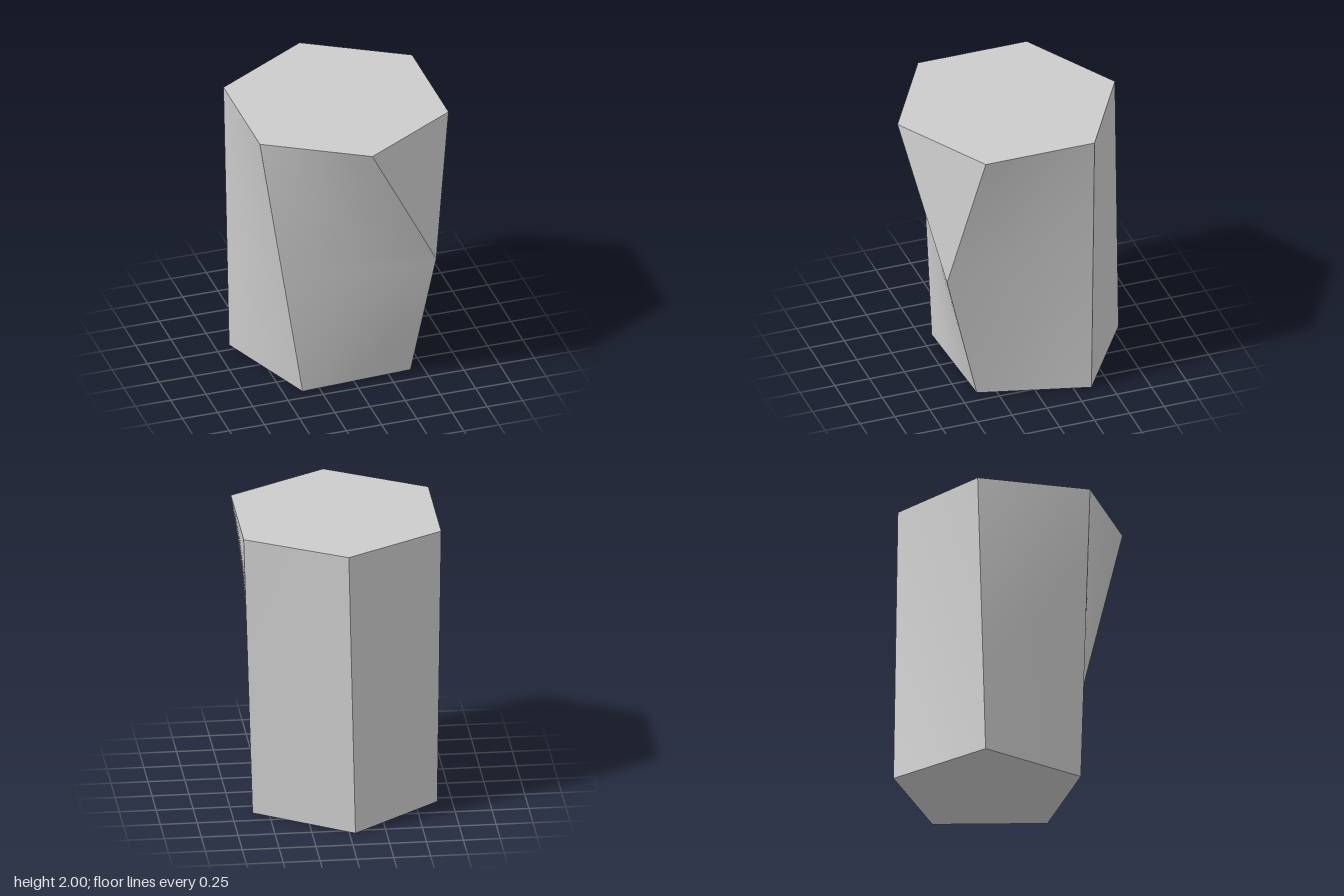
import * as THREE from 'three';

const material = new THREE.MeshStandardMaterial({ color: 0xcccccc, side: THREE.DoubleSide });
const V = (x, y, z) => new THREE.Vector3(x, y, z);

// Vertical edges of the prism, each listed from bottom to top.
// The first two share a lower stem and fork at mid height.
const fork = V(0.51, 1, 0.63);
const stem = V(0.41, 0, 0.38);
const edges = [
  [stem, fork, V(0, 2, 0.8)],
  [stem, fork, V(0.67, 2, 0.41)],
  [V(0.61, 0, -0.37), V(0.67, 2, -0.37)],
  [V(-0.04, 0, -0.8), V(0, 2, -0.76)],
  [V(-0.65, 0, -0.31), V(-0.67, 2, -0.37)],
  [V(-0.37, 0, 0.42), V(-0.67, 2, 0.41)],
];
const names = ['forkTriangle', 'rightSide', 'backRightSide', 'backLeftSide', 'leftSide', 'frontSide'];

// Point on an edge at height y
function pointAt(edge, y) {
  const i = edge.length === 3 && y >= 1 ? 1 : 0;
  const a = edge[i], b = edge[i + 1];
  return a.clone().lerp(b, (y - a.y) / (b.y - a.y));
}

// Curved wall ruled by level lines between two edges
function wall(left, right, y0, rows = 60, cols = 4) {
  const pos = [], index = [];
  for (let r = 0; r <= rows; r++) {
    const y = y0 + (2 - y0) * r / rows;
    const a = pointAt(left, y), b = pointAt(right, y);
    for (let c = 0; c <= cols; c++) pos.push(...a.clone().lerp(b, c / cols).toArray());
  }
  for (let r = 0; r < rows; r++) {
    for (let c = 0; c < cols; c++) {
      const i = r * (cols + 1) + c, j = i + cols + 1;
      index.push(i, i + 1, j + 1, i, j + 1, j);
    }
  }
  const geo = new THREE.BufferGeometry();
  geo.setAttribute('position', new THREE.Float32BufferAttribute(pos, 3));
  geo.setIndex(index);
  geo.computeVertexNormals();
  return geo;
}

// Flat polygon cap; points run anticlockwise seen from above
function cap(points, up) {
  const shape = new THREE.Shape(points.map(p => new THREE.Vector2(p.x, -p.z)));
  const geo = new THREE.ShapeGeometry(shape);
  geo.rotateX(-Math.PI / 2).translate(0, points[0].y, 0);
  if (!up) {
    geo.setIndex(Array.from(geo.index.array).reverse());
    geo.computeVertexNormals();
  }
  return geo;
}

export function createModel() {
  const group = new THREE.Group();
  const add = (name, geo) => {
    const mesh = new THREE.Mesh(geo, material);
    mesh.name = name;
    group.add(mesh);
  };

  // Six sides; the triangle exists only above the fork
  edges.forEach((edge, i) => {
    const next = edges[(i + 1) % edges.length];
    add(names[i], i === 0 ? wall(edge, next, 1, 1, 1) : wall(edge, next, 0));
  });

  // Hexagonal top and pentagonal base
  add('hexagonTop', cap(edges.map(e => e[e.length - 1]), true));
  add('pentagonBase', cap(edges.slice(1).map(e => e[0]), false));
  return group;
}
